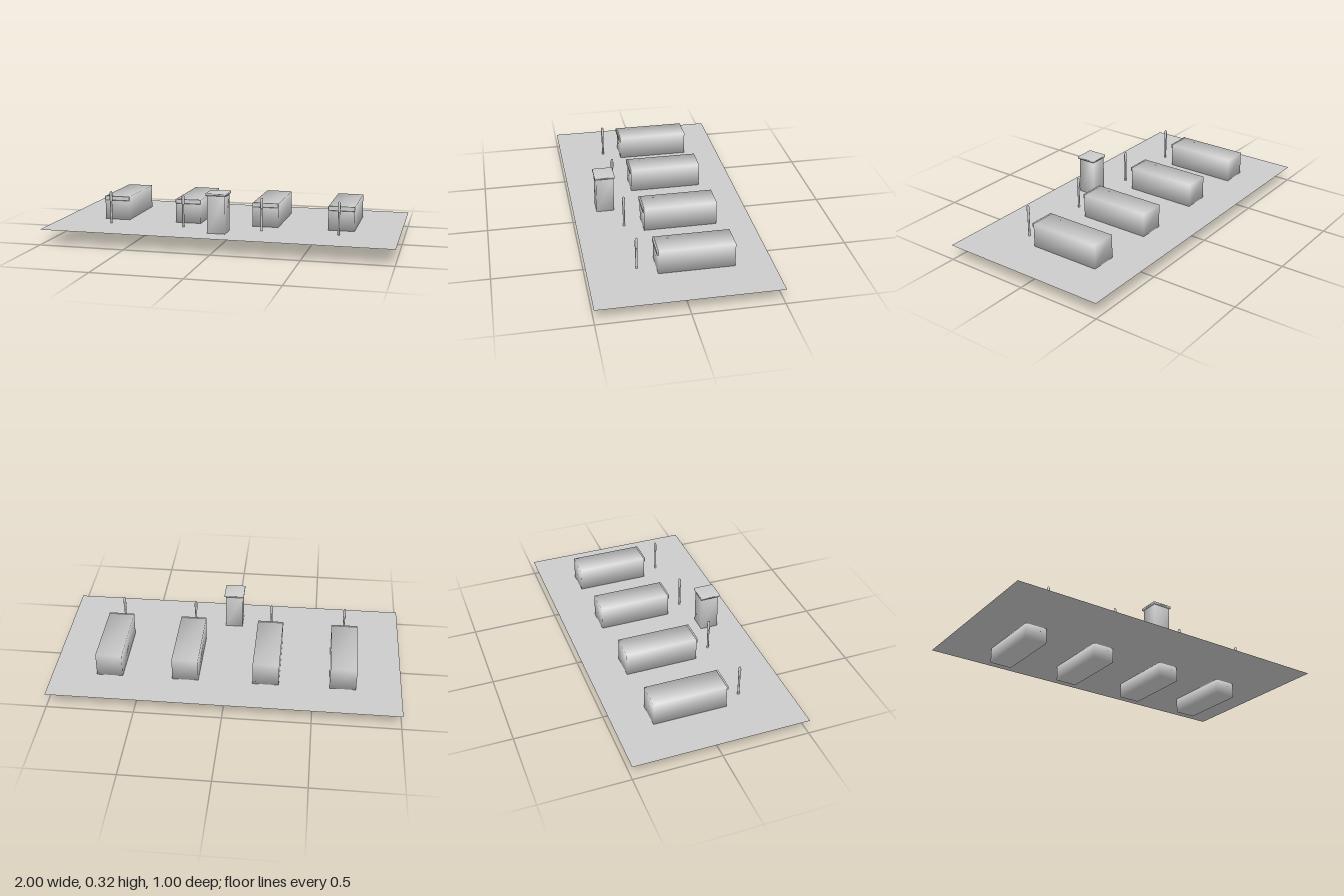
import * as THREE from 'three';
import { mergeVertices } from 'three/addons/utils/BufferGeometryUtils.js';
import { RoundedBoxGeometry } from 'three/addons/geometries/RoundedBoxGeometry.js';

const GROUND = 0.089;

// Box whose corners share one normal, for soft shading across the faces
function softBox(w, h, d) {
  const box = new THREE.BoxGeometry(w, h, d);
  box.deleteAttribute('normal');
  box.deleteAttribute('uv');
  const merged = mergeVertices(box);
  merged.computeVertexNormals();
  return merged;
}

export function createModel() {
  const model = new THREE.Group();
  model.name = 'plot';
  const grey = new THREE.MeshStandardMaterial({ color: 0xcccccc, side: THREE.DoubleSide });
  grey.name = 'plain grey';

  function add(parent, name, geometry, x, y, z) {
    const mesh = new THREE.Mesh(geometry, grey);
    mesh.name = name;
    mesh.position.set(x, y, z);
    parent.add(mesh);
    return mesh;
  }

  // Ground sheet
  add(model, 'ground', new THREE.PlaneGeometry(2, 1).rotateX(-Math.PI / 2), 0, GROUND, 0);

  // Geometry shared by the four bays
  const upper = softBox(0.15, 0.138, 0.418);
  const lower = softBox(0.13, 0.088, 0.396);
  const rail = new RoundedBoxGeometry(0.152, 0.027, 0.011, 3, 0.005);
  const shaft = new THREE.CylinderGeometry(0.006, 0.006, 0.135, 10);
  const headProfile = [
    [0, 0], [0.006, 0], [0.008, 0.005], [0.008, 0.046], [0.0065, 0.056], [0.003, 0.061], [0, 0.062],
  ].map(([r, y]) => new THREE.Vector2(r, y));
  const head = new THREE.LatheGeometry(headProfile, 10);

  // Each bay: raised block, sunken block, front rail and a marker post
  for (const x of [-0.668, -0.23, 0.23, 0.667]) {
    const bay = new THREE.Group();
    bay.name = 'bay';
    bay.position.x = x;
    model.add(bay);
    add(bay, 'upperBlock', upper, 0, 0.159, -0.083);
    add(bay, 'lowerBlock', lower, 0, 0.044, -0.083);
    add(bay, 'frontRail', rail, 0, 0.2175, 0.129);
    add(bay, 'postShaft', shaft, 0, 0.1565, 0.23);
    add(bay, 'postHead', head, 0, 0.217, 0.23);
  }

  // Central pillar with an overhanging cap
  add(model, 'pillar', softBox(0.102, 0.214, 0.102), 0, 0.196, 0.312);
  add(model, 'pillarCap', softBox(0.116, 0.013, 0.116), 0, 0.3095, 0.312);

  return model;
}
